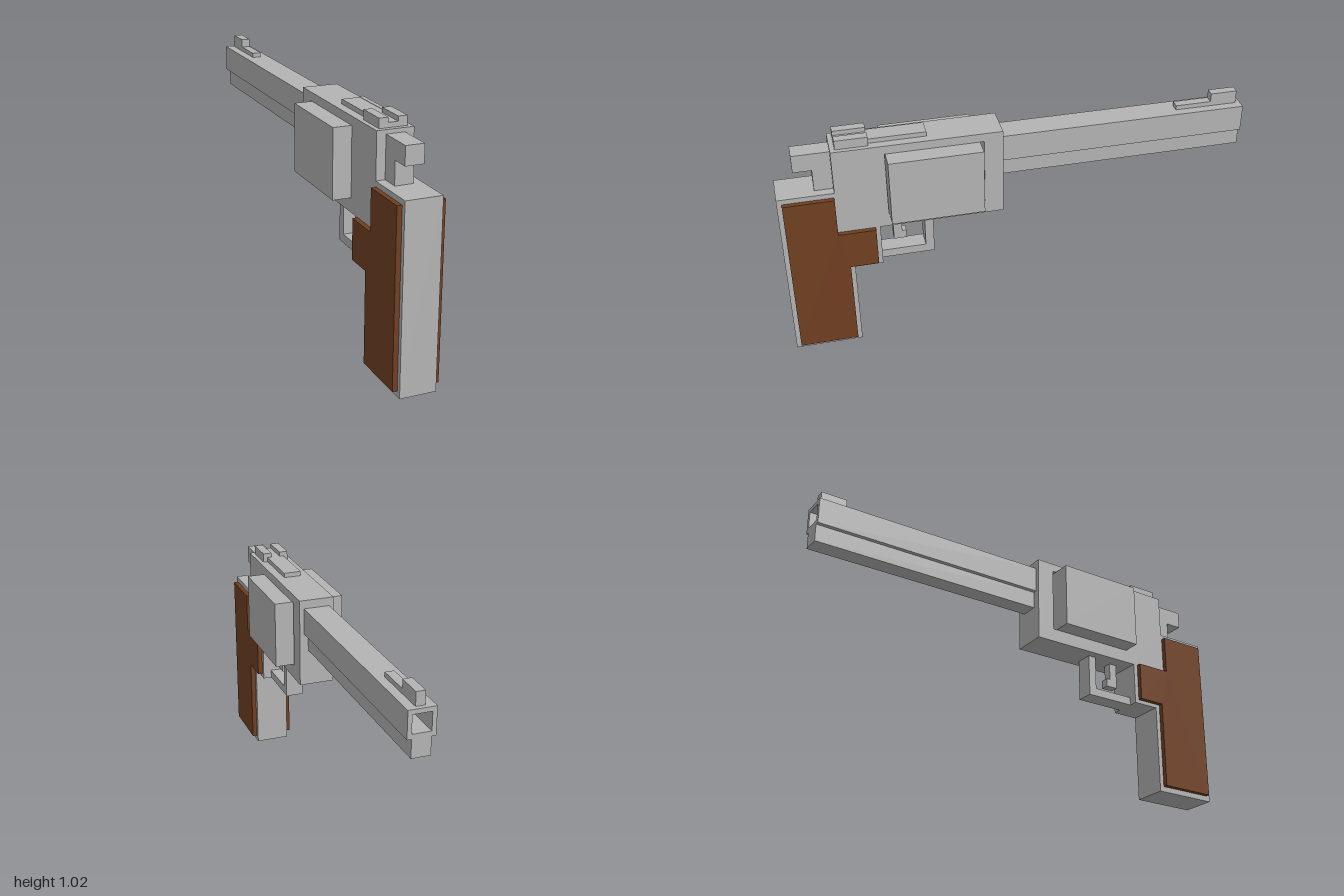
import * as THREE from 'three';

const steel = new THREE.MeshStandardMaterial({ name: 'grey steel', color: 0xb4b4b4 });
const wood = new THREE.MeshStandardMaterial({ name: 'brown wood', color: 0x704022 });

const rect = (a0, a1, b0, b1) => [[a0, b0], [a1, b0], [a1, b1], [a0, b1]];

function makeShape(points, holes = []) {
  const toVectors = (list) => list.map(([a, b]) => new THREE.Vector2(a, b));
  const shape = new THREE.Shape(toVectors(points));
  for (const hole of holes) shape.holes.push(new THREE.Path(toVectors(hole)));
  return shape;
}

export function createModel() {
  const model = new THREE.Group();
  model.name = 'revolver';

  const add = (name, geometry, material = steel) => {
    const mesh = new THREE.Mesh(geometry, material);
    mesh.name = name;
    model.add(mesh);
    return mesh;
  };

  // Side profile given as [z, y], extruded across x from x0 to x1
  const profile = (name, points, x0, x1, material = steel, holes = []) => {
    const geometry = new THREE.ExtrudeGeometry(makeShape(points, holes), { depth: x1 - x0, bevelEnabled: false });
    geometry.rotateY(-Math.PI / 2);
    geometry.translate(x1, 0, 0);
    return add(name, geometry, material);
  };

  const box = (name, x0, x1, y0, y1, z0, z1) => {
    const geometry = new THREE.BoxGeometry(x1 - x0, y1 - y0, z1 - z0);
    geometry.translate((x0 + x1) / 2, (y0 + y1) / 2, (z0 + z1) / 2);
    return add(name, geometry);
  };

  // Receiver and grip in one outline, with the drum window cut through
  profile('frame', [
    [0.06, 0.59], [0.59, 0.59], [0.59, 0.4], [0.71, 0.4], [0.71, 0], [1, 0],
    [1, 0.787], [0.765, 0.787], [0.765, 0.98], [0.06, 0.98],
  ], -0.077, 0.077, steel, [rect(0.14, 0.55, 0.65, 0.943)]);

  // Square drum and the rod that bridges the gap ahead of it
  box('drum', -0.155, 0.155, 0.65, 0.943, 0.157, 0.548);
  box('drumRod', -0.04, 0.04, 0.75, 0.83, 0.13, 0.17);

  // Wooden grip panels
  const panel = [
    [0.73, 0.024], [0.98, 0.024], [0.98, 0.765], [0.768, 0.765],
    [0.768, 0.59], [0.61, 0.59], [0.61, 0.417], [0.73, 0.417],
  ];
  profile('leftGripPanel', panel, 0.077, 0.098, wood);
  profile('rightGripPanel', panel, -0.098, -0.077, wood);

  // Hollow square barrel with a narrower underlug
  const barrel = new THREE.ExtrudeGeometry(
    makeShape(rect(-0.057, 0.057, 0.827, 0.943), [rect(-0.039, 0.039, 0.847, 0.924)]),
    { depth: 1.06, bevelEnabled: false },
  );
  barrel.translate(0, 0, -1);
  add('barrel', barrel);
  box('underlug', -0.039, 0.039, 0.75, 0.827, -1, 0.06);

  // Sights
  profile('frontSight', [
    [-0.98, 0.943], [-0.71, 0.943], [-0.71, 0.963], [-0.865, 0.963], [-0.865, 1], [-0.98, 1],
  ], -0.019, 0.019);
  box('sightRib', -0.039, 0.039, 0.98, 1, 0.37, 0.745);
  for (const [name, side] of [['leftRearSight', 1], ['rightRearSight', -1]]) {
    box(name, side * 0.039 - 0.019, side * 0.039 + 0.019, 0.98, 1.02, 0.61, 0.745);
  }

  // Hammer, trigger and trigger guard
  profile('hammer', [
    [0.765, 0.787], [0.843, 0.787], [0.843, 0.885], [0.92, 0.885], [0.92, 0.963], [0.765, 0.963],
  ], -0.039, 0.039);
  profile('trigger', [
    [0.475, 0.475], [0.53, 0.475], [0.53, 0.59], [0.493, 0.59], [0.493, 0.512], [0.475, 0.512],
  ], -0.019, 0.019);
  profile('triggerGuard', [
    [0.36, 0.4], [0.59, 0.4], [0.59, 0.437], [0.397, 0.437], [0.397, 0.59], [0.36, 0.59],
  ], -0.039, 0.039);

  return model;
}
